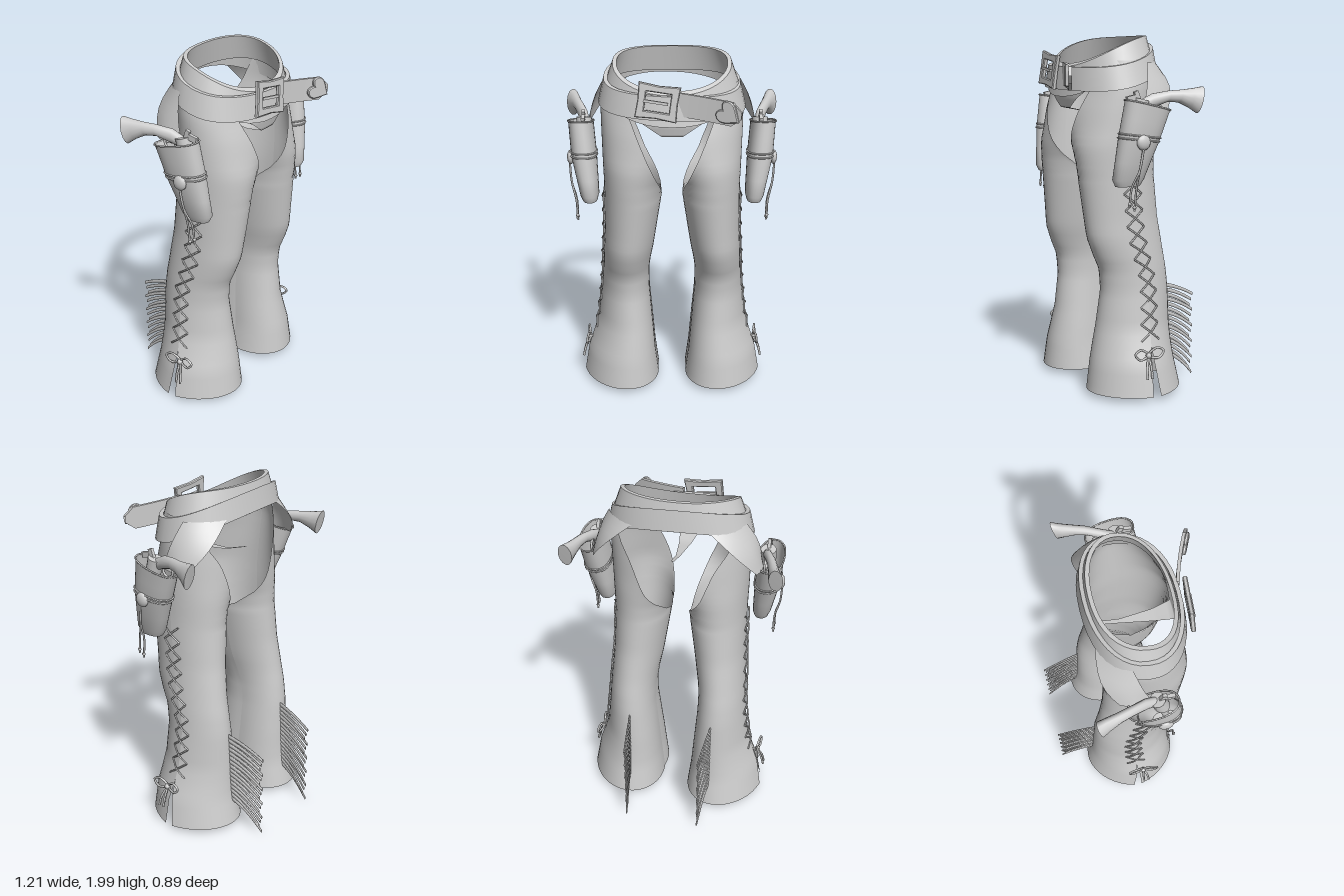
import * as THREE from 'three';
import { mergeVertices, toCreasedNormals } from 'three/addons/utils/BufferGeometryUtils.js';

const mat = new THREE.MeshStandardMaterial({ color: 0xcccccc, side: THREE.DoubleSide });
const V = (x, y, z) => new THREE.Vector3(x, y, z);
const PI = Math.PI;
const clamp = THREE.MathUtils.clamp;

function add(parent, name, geo, pos = [0, 0, 0], rot = [0, 0, 0]) {
  const m = new THREE.Mesh(geo, mat);
  m.name = name;
  m.position.set(...pos);
  m.rotation.set(...rot);
  parent.add(m);
  return m;
}

// Linear lookup in a table whose first column is ascending
function lookup(rows, k) {
  let i = 0;
  while (i < rows.length - 2 && k > rows[i + 1][0]) i++;
  const a = rows[i], b = rows[i + 1];
  const f = clamp((k - a[0]) / (b[0] - a[0]), 0, 1);
  return a.map((v, j) => v + (b[j] - v) * f);
}

// Grid surface from a rule fn(u, v), u and v in 0..1
function surf(fn, nu, nv, crease = 0) {
  const pos = [], idx = [];
  for (let j = 0; j <= nv; j++)
    for (let i = 0; i <= nu; i++) pos.push(...fn(i / nu, j / nv));
  for (let j = 0; j < nv; j++)
    for (let i = 0; i < nu; i++) {
      const a = j * (nu + 1) + i, b = a + nu + 1;
      idx.push(a, b, a + 1, a + 1, b, b + 1);
    }
  let g = new THREE.BufferGeometry();
  g.setAttribute('position', new THREE.Float32BufferAttribute(pos, 3));
  g.setIndex(idx);
  g = mergeVertices(g, 1e-4);
  if (crease) return toCreasedNormals(g, crease);
  g.computeVertexNormals();
  return g;
}

const tube = (pts, r, closed = false, seg = 16) =>
  new THREE.TubeGeometry(new THREE.CatmullRomCurve3(pts.map(p => V(...p)), closed), seg, r, 5, closed);

// Leg rows: y, outer x, inner x, front z, back z, front edge x, back edge x, side slit
const LEG = [
  [0.04, 0.535, 0.085, 0.28, -0.275, 0.085, 0.085, 0.09], [0.2, 0.505, 0.105, 0.26, -0.24, 0.105, 0.105, 0.04],
  [0.3, 0.47, 0.112, 0.24, -0.23, 0.112, 0.112, 0], [0.4, 0.44, 0.12, 0.22, -0.225, 0.12, 0.12, 0],
  [0.6, 0.415, 0.135, 0.195, -0.215, 0.135, 0.135, 0], [0.72, 0.405, 0.135, 0.205, -0.2, 0.135, 0.135, 0],
  [0.8, 0.4, 0.125, 0.24, -0.185, 0.125, 0.125, 0], [0.9, 0.392, 0.105, 0.275, -0.17, 0.105, 0.105, 0],
  [1.0, 0.385, 0.09, 0.285, -0.155, 0.09, 0.09, 0], [1.23, 0.38, 0.055, 0.308, -0.14, 0.055, 0.055, 0],
  [1.3, 0.38, 0.045, 0.315, -0.142, 0.07, 0.085, 0], [1.4, 0.383, 0, 0.325, -0.15, 0.105, 0.15, 0],
  [1.6, 0.388, -0.2, 0.31, -0.165, 0.187, 0.225, 0], [1.72, 0.39, -0.36, 0.29, -0.17, 0.235, 0.3, 0],
  [1.86, 0.36, -0.36, 0.27, -0.16, 0.28, 0.33, 0]];

const pw = (v, e) => Math.sign(v) * Math.abs(v) ** e;
function legPoint(t, y, out = 0) {
  const [, xo, xi, zf, zb] = lookup(LEG, y), s = Math.sin(t);
  const lean = 0.042 * clamp((0.9 - y) / 0.7, 0, 1) * Math.abs(s);
  return [(xo + xi) / 2 + ((xo - xi) / 2 + out) * Math.cos(t) - lean, y,
    (zf + zb) / 2 + ((zf - zb) / 2 + out) * s];
}

function legPanel(sign) {
  return surf((u, v) => {
    const y = 0.04 + 1.82 * v, [, xo, xi, , , xf, xb, slit] = lookup(LEG, y);
    const end = Math.acos(clamp((2 * (sign > 0 ? xf : xb) - xo - xi) / (xo - xi), -1, 1));
    return legPoint(sign * (slit + (end - slit) * u), y);
  }, 20, 45);
}

// Holster rows: y, centre x, half x, centre z, half z
const HOLSTER = [[1.2, 0.455, 0, 0.155, 0], [1.205, 0.455, 0.04, 0.155, 0.07], [1.24, 0.457, 0.052, 0.152, 0.09],
  [1.45, 0.485, 0.07, 0.105, 0.115], [1.63, 0.5, 0.068, 0.06, 0.13]];
function holsterPoint(a, y, out = 0) {
  const [, cx, hx, cz, hz] = lookup(HOLSTER, y);
  const s = pw(Math.sin(a), 0.85);
  return [cx + (hx + out) * pw(Math.cos(a), 0.85), y + 0.03 * s * Math.max(0, (y - 1.3) / 0.33), cz + (hz + out) * s];
}

function makeHolster() {
  const g = new THREE.Group();
  g.name = 'holster';
  const ys = [1.2, 1.205, 1.24, 1.33, 1.45, 1.54, 1.63];
  add(g, 'pouch', surf((u, v) => holsterPoint(u * 2 * PI, ys[Math.round(v * 6)]), 28, 6, 0.9));
  for (const y of [1.47, 1.45, 1.63])
    add(g, 'pouchBand', tube(Array.from({ length: 20 }, (_, i) => holsterPoint(i / 10 * PI, y, 0.002)), 0.005, true, 40));
  add(g, 'concho', new THREE.SphereGeometry(0.04, 14, 10), [0.558, 1.44, 0.12]).scale.x = 0.5;
  for (const [z, y] of [[0.155, 1.08], [0.185, 1.1]]) {
    add(g, 'string', tube([[0.565, 1.43, 0.12], [0.555, 1.3, 0.14], [0.53, 1.2, z - 0.01], [0.527, y, z]], 0.006));
    add(g, 'stringKnot', new THREE.SphereGeometry(0.01, 6, 5), [0.527, y + 0.02, z]);
  }
  // Flap that hangs the holster from the belt
  add(g, 'hanger', surf((u, v) => {
    const a = -1.0 + 0.75 * u;
    const top = V(0.385 * Math.cos(a), 1.85, 0.05 + 0.26 * Math.sin(a));
    const low = V(0.45 + 0.02 * Math.sin(u * PI), 1.6, -0.1 + 0.16 * u);
    const p = top.lerp(low, v), b = 0.04 * Math.sin(v * PI);
    return [p.x + b * 0.6, p.y, p.z - b * (1 - u)];
  }, 8, 6));
  return g;
}

function makePistol() {
  const g = new THREE.Group();
  g.name = 'pistol';
  // Grip rows: z (negated), x, y, half width, half height
  const rows = [[-0.1, 0.475, 1.62, 0.025, 0.035], [-0.03, 0.485, 1.65, 0.025, 0.04], [0.06, 0.515, 1.675, 0.026, 0.03],
    [0.12, 0.533, 1.675, 0.027, 0.034], [0.18, 0.55, 1.665, 0.033, 0.052], [0.225, 0.565, 1.655, 0.038, 0.072],
    [0.226, 0.565, 1.655, 0, 0]];
  add(g, 'grip', surf((u, v) => {
    const [z, x, y, w, h] = rows[Math.round(v * 6)], a = u * 2 * PI, s = h * Math.sin(a);
    return [x + w * Math.cos(a), y + s, -z - s * 0.25];
  }, 14, 6, 0.8));
  add(g, 'chamber', new THREE.CylinderGeometry(0.042, 0.042, 0.12, 12), [0.48, 1.6, 0.1], [-0.25, 0, 0]);
  add(g, 'barrel', new THREE.CylinderGeometry(0.02, 0.02, 0.3, 10), [0.475, 1.42, 0.13], [-0.2, 0, 0]);
  add(g, 'hammer', new THREE.BoxGeometry(0.018, 0.07, 0.025), [0.48, 1.67, 0.11], [0.35, 0, 0]);
  add(g, 'sight', new THREE.BoxGeometry(0.02, 0.03, 0.05), [0.48, 1.665, 0.15], [0.2, 0, 0]);
  add(g, 'triggerGuard', new THREE.TorusGeometry(0.035, 0.007, 6, 14), [0.48, 1.61, 0], [0, PI / 2, 0]);
  return g;
}

function makeSide() {
  const g = new THREE.Group();
  add(g, 'legFront', legPanel(1));
  add(g, 'legBack', legPanel(-1));

  // Crossed lacing down the outer seam
  const n = 10, step = 0.09;
  for (let i = 0; i < n; i++)
    for (const s of [-1, 1]) {
      const y = 0.34 + i * step;
      add(g, 'lace', tube([[-0.24, 0], [0, 0.5], [0.24, 1]].map(([t, f]) =>
        legPoint(s * t, y + f * step, 0.006 + (f === 0.5 && s > 0 ? 0.006 : 0))), 0.005, false, 6));
    }

  // Bow with two loops and two tails
  for (const s of [-1, 1]) {
    add(g, 'bowLoop', tube([[0.49, 0.27, 0.04], [0.5, 0.31, 0.04 + s * 0.05], [0.505, 0.29, 0.04 + s * 0.09],
      [0.505, 0.255, 0.04 + s * 0.06]], 0.007, true, 24));
    add(g, 'bowTail', tube([[0.49, 0.27, 0.04], [0.52, 0.21, 0.05 + s * 0.012], [0.535, 0.15, 0.055 + s * 0.015]], 0.007));
  }
  add(g, 'bowKnot', new THREE.SphereGeometry(0.017, 8, 6), [0.495, 0.27, 0.04]);

  // Fringe strands fanning out behind the calf
  const strands = 16;
  for (let i = 0; i < strands; i++) {
    const f = i / (strands - 1), y0 = 0.59 - 0.41 * f, z0 = -0.2 - 0.035 * f;
    const drop = 0.09 + 0.07 * f, z1 = -0.44 + 0.01 * (i % 3);
    add(g, 'fringe', surf((u, v) => {
      const a = u * 2 * PI, w = 0.014 * (1 - 0.25 * v);
      return [0.245 - 0.028 * v + 0.005 * Math.cos(a), y0 - drop * (0.5 * v + 0.5 * v * v) + w * Math.sin(a), z0 + (z1 - z0) * v];
    }, 6, 6));
  }
  g.add(makeHolster(), makePistol());
  return g;
}

// Oval band; r = [top x, bottom x, top z, bottom z], topY gives the height of its upper edge
function band(r, h, topY) {
  const th = 0.022;
  return surf((u, v) => {
    const a = u * 2 * PI, k = Math.round(v * 4) % 4;
    const low = k === 1 || k === 2 ? 1 : 0, inn = k > 1 ? th : 0;
    const x = (r[low] - inn) * pw(Math.cos(a), 0.9), z = 0.065 + (r[2 + low] - inn) * pw(Math.sin(a), 0.9);
    return [x, topY(x, z) - low * h, z];
  }, 40, 4, 0.6);
}

function extrude(shape, depth, bevel = 0.005) {
  return new THREE.ExtrudeGeometry(shape, { depth, bevelEnabled: true, bevelSize: bevel, bevelThickness: bevel, bevelSegments: 1 });
}
const poly = pts => new THREE.Shape(pts.map(p => new THREE.Vector2(...p)));

export function createModel() {
  const root = new THREE.Group();
  root.name = 'chaps';
  const body = new THREE.Group();
  body.position.x = 0.018;
  root.add(body);

  const left = makeSide(), right = makeSide();
  left.name = 'leftSide';
  right.name = 'rightSide';
  right.scale.x = -1;
  body.add(left, right);

  add(body, 'waistBelt', band([0.32, 0.37, 0.22, 0.25], 0.14, (x, z) => 2 - 0.9 * (z + 0.15) ** 2));
  add(body, 'gunBelt', band([0.37, 0.4, 0.25, 0.267], 0.125,
    (x, z) => 1.83 + 0.15 * Math.max(0, (0.34 - z) / 0.54) ** 2.1 - 0.035 * x));

  // Pointed front flap running into a narrow tail between the legs
  const flap = [[0, 1.82, 0.3, 0.3], [1, 1.72, 0.3, 0.235], [2, 1.66, 0.297, 0.135], [3, 1.605, 0.285, 0.055],
    [4, 1.585, 0.18, 0.035], [5, 1.6, 0, 0.012], [6, 1.64, -0.13, 0.01]];
  add(body, 'frontFlap', surf((u, v) => {
    const [, y, z, w] = lookup(flap, v * 6), x = (u * 2 - 1) * w;
    return [x, y, z - 0.9 * x * x];
  }, 10, 24));

  // Buckle frame with prong
  const buckle = new THREE.Group();
  buckle.name = 'buckle';
  buckle.position.set(-0.075, 1.81, 0.335);
  buckle.rotation.set(-0.1, -0.08, -0.14);
  body.add(buckle);
  const frame = poly([[-0.105, -0.088], [0, -0.08], [0.105, -0.088], [0.1, 0], [0.105, 0.088], [0, 0.08], [-0.105, 0.088], [-0.1, 0]]);
  frame.holes.push(poly([[-0.07, -0.055], [-0.07, 0.055], [0.07, 0.055], [0.07, -0.055]]));
  add(buckle, 'buckleFrame', extrude(frame, 0.015));
  add(buckle, 'prong', new THREE.BoxGeometry(0.13, 0.014, 0.014), [-0.01, 0, 0.02]);

  // Loose belt end with a heart-shaped stud
  const end = new THREE.Group();
  end.name = 'beltEnd';
  end.position.set(0.03, 1.79, 0.33);
  end.rotation.set(0, -0.28, -0.08);
  body.add(end);
  add(end, 'beltTongue', surf((u, v) => {
    const x = 0.34 * u, half = 0.062 * (u > 0.85 ? (1 - u) / 0.15 * 0.7 + 0.3 : 1);
    const k = Math.round(v * 4) % 4;
    return [x, (k === 1 || k === 2 ? -1 : 1) * half, 0.035 * u * u - 0.03 + (k > 1 ? 0 : 0.018)];
  }, 20, 4, 0.6));
  const heart = new THREE.Shape();
  heart.moveTo(0.06, 0);
  heart.bezierCurveTo(0.02, 0.03, 0, 0.065, -0.035, 0.055);
  heart.bezierCurveTo(-0.07, 0.04, -0.055, 0.01, -0.03, 0);
  heart.bezierCurveTo(-0.055, -0.01, -0.07, -0.04, -0.035, -0.055);
  heart.bezierCurveTo(0, -0.065, 0.02, -0.03, 0.06, 0);
  add(end, 'heartStud', extrude(heart, 0.01), [0.275, 0, 0.014], [0, -0.16, -0.5]);
  return root;
}
